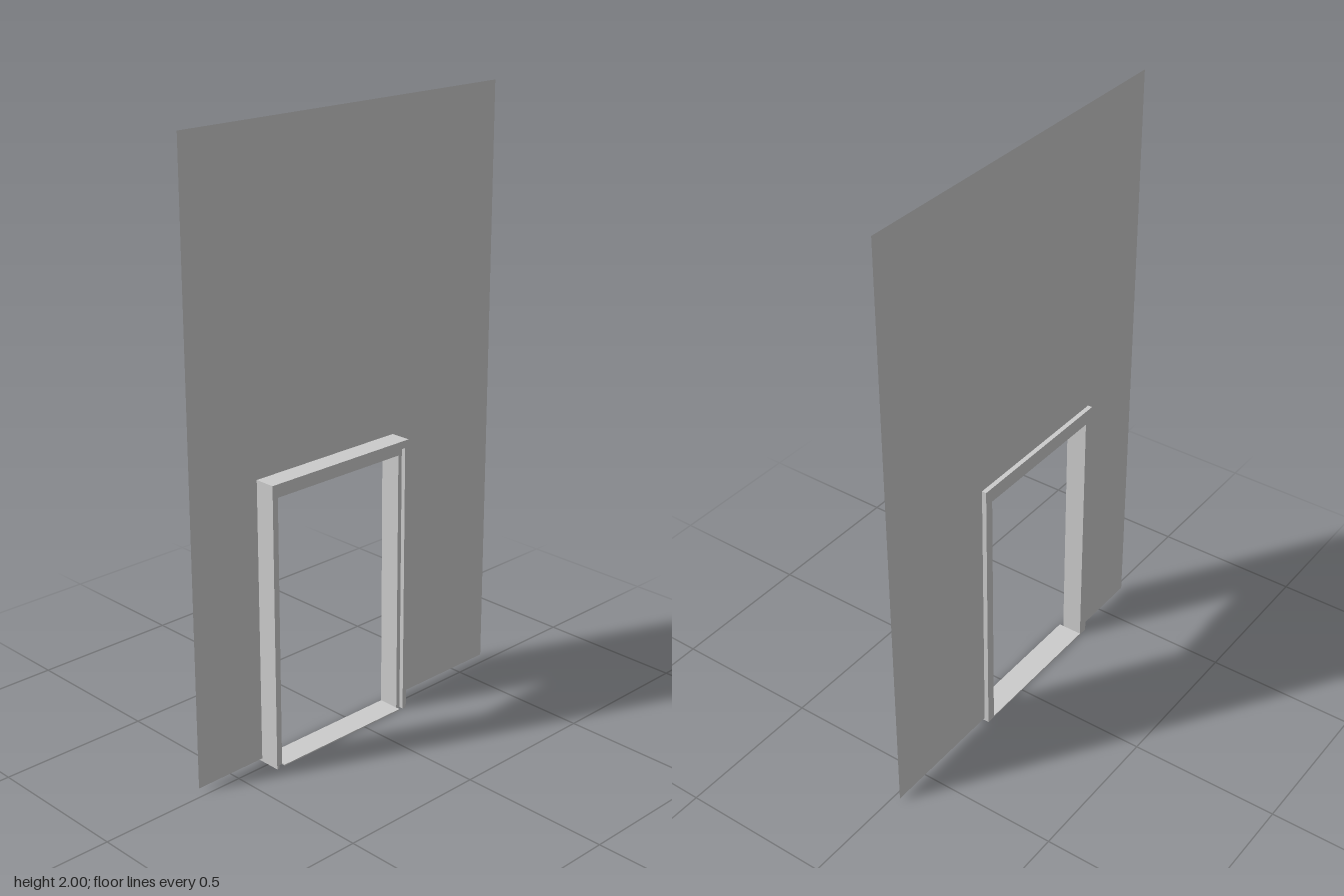
import * as THREE from 'three';

const grey = new THREE.MeshStandardMaterial({ color: 0xcccccc });
const sheet = new THREE.MeshStandardMaterial({ color: 0xcccccc, side: THREE.DoubleSide });

// Outlines of the doorway, from outside to inside: left x, right x, top y
const outer = [-0.38, 0.19, 0.94];
const middle = [-0.37, 0.175, 0.915];
const inner = [-0.347, 0.16, 0.89];
const back = -0.0425;

// An arch of straight sides: a rectangle with a doorway cut up from its base
function archShape([x0, x1, top], [h0, h1, hTop], base) {
  const points = [
    [x0, base], [h0, base], [h0, hTop], [h1, hTop],
    [h1, base], [x1, base], [x1, top], [x0, top],
  ];
  return new THREE.Shape(points.map(([x, y]) => new THREE.Vector2(x, y)));
}

function addMesh(group, name, geometry, material, z = 0) {
  const mesh = new THREE.Mesh(geometry, material);
  mesh.name = name;
  mesh.position.z = z;
  group.add(mesh);
  return mesh;
}

function addArch(group, name, outside, inside, front) {
  const geometry = new THREE.ExtrudeGeometry(archShape(outside, inside, 0), {
    depth: front - back, bevelEnabled: false,
  });
  addMesh(group, name, geometry, grey, back);
}

export function createModel() {
  const model = new THREE.Group();
  model.name = 'wallWithDoorway';

  // Thin wall panel, set towards the back of the frame
  const wall = new THREE.ShapeGeometry(archShape([-0.635, 0.635, 2], middle, 0.01));
  addMesh(model, 'wallPanel', wall, sheet, -0.027);

  // Door frame: outer casing with a slightly recessed inner stop
  const frame = new THREE.Group();
  frame.name = 'doorFrame';
  addArch(frame, 'outerCasing', outer, middle, 0.0425);
  addArch(frame, 'innerStop', middle, inner, 0.028);

  // Thin sill across the foot of the doorway
  const width = inner[1] - inner[0];
  const sill = addMesh(frame, 'sill', new THREE.BoxGeometry(width, 0.004, 0.085), grey);
  sill.position.set((inner[0] + inner[1]) / 2, 0.002, 0);
  model.add(frame);

  return model;
}
